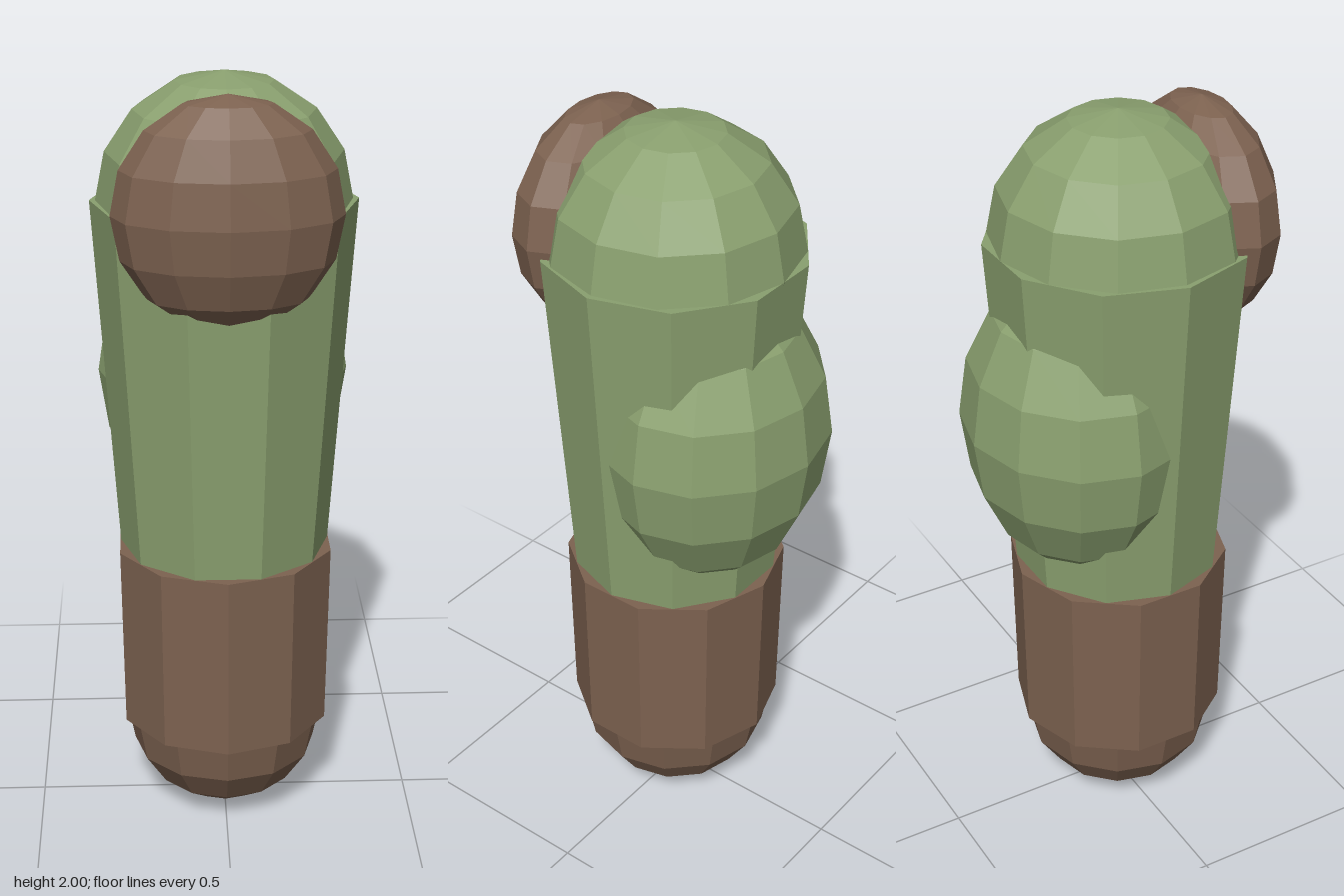
import * as THREE from 'three';

export function createModel() {
  const model = new THREE.Group();
  model.name = 'limb';
  const green = new THREE.MeshStandardMaterial({ color: 0x8aa06f, flatShading: true });
  green.name = 'sage green';
  const brown = new THREE.MeshStandardMaterial({ color: 0x7d6250, flatShading: true });
  brown.name = 'leather brown';

  const add = (name, geometry, material, y, z) => {
    const mesh = new THREE.Mesh(geometry, material);
    mesh.name = name;
    mesh.position.set(0, y, z);
    model.add(mesh);
  };
  // Low-poly ellipsoid with given half-sizes
  const ball = (rx, ry, rz) => new THREE.SphereGeometry(1, 12, 8).scale(rx, ry, rz);
  // Ten-sided tapered sleeve between two heights
  const sleeve = (rTop, rBottom, height) => new THREE.CylinderGeometry(rTop, rBottom, height, 10);

  const axisZ = 0.01;

  // Upper sleeve with corners on the x axis, and its rounded cap
  add('upperSleeve', sleeve(0.335, 0.273, 0.92).rotateY(Math.PI / 2), green, 1.22, axisZ);
  add('topCap', ball(0.32, 0.32, 0.32), green, 1.68, axisZ);

  // Lower cuff with corners on the z axis, and its rounded end
  add('lowerCuff', sleeve(0.289, 0.281, 0.495), brown, 0.5125, axisZ);
  add('bottomCap', ball(0.265, 0.265, 0.265), brown, 0.265, axisZ);

  // Bulge on the back and pad on the front
  add('backBulge', ball(0.325, 0.42, 0.29), green, 1.195, -0.11);
  add('frontPad', ball(0.28, 0.288, 0.16), brown, 1.7, 0.24);

  return model;
}
